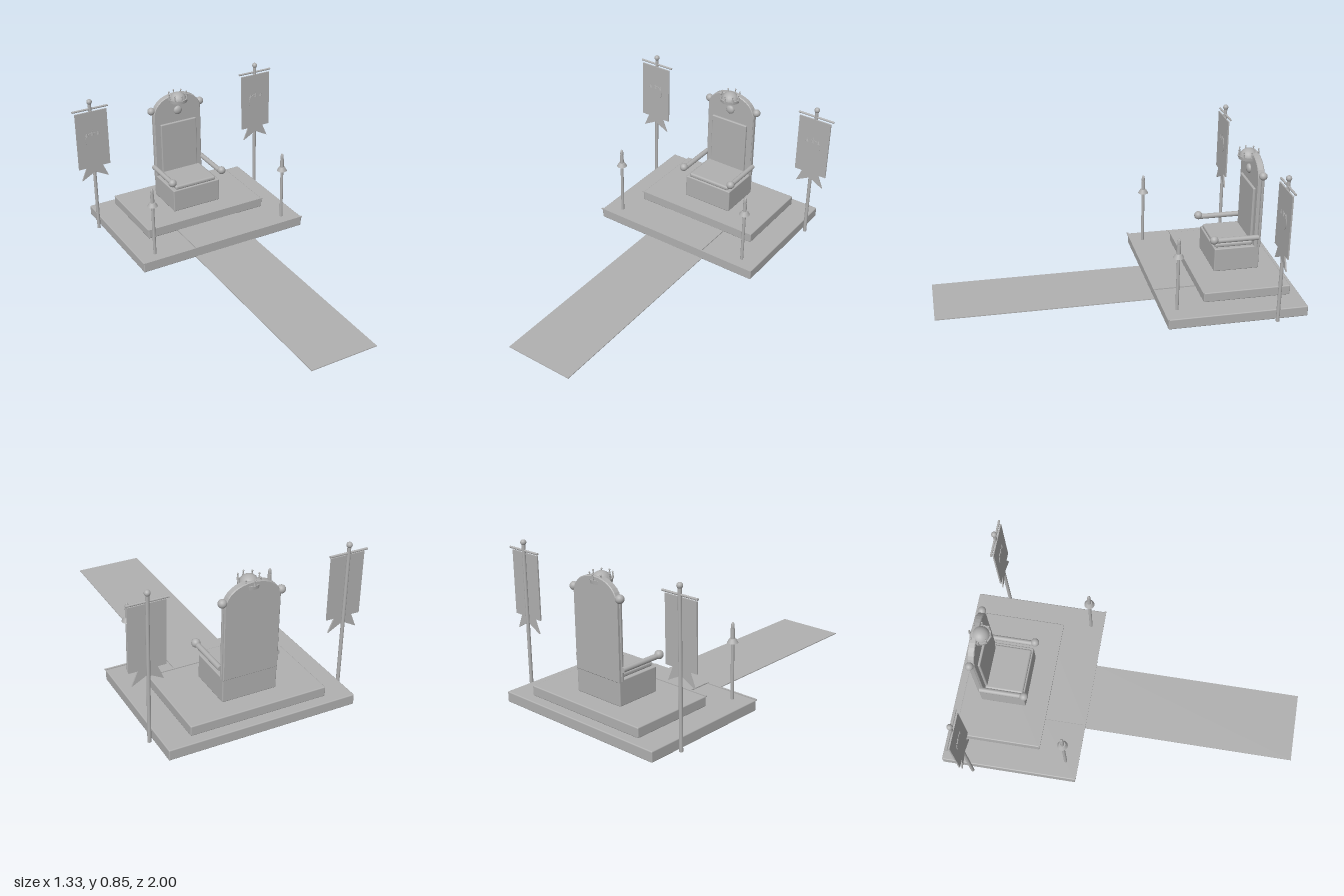
import * as THREE from 'three';
import { RoundedBoxGeometry } from 'three/addons/geometries/RoundedBoxGeometry.js';

export function createModel() {
  const root = new THREE.Group();
  root.name = 'throneDais';
  const stone = new THREE.MeshStandardMaterial({ color: 0xb0b0b0 });
  stone.name = 'plain grey';

  const add = (name, geo, x, y, z, parent = root) => {
    const m = new THREE.Mesh(geo, stone);
    m.name = name;
    m.position.set(x, y, z);
    parent.add(m);
    return m;
  };
  // box given by its limits, with an optional softened edge
  const block = (name, x0, x1, y0, y1, z0, z1, r = 0, parent = root) => {
    const s = [x1 - x0, y1 - y0, z1 - z0];
    const geo = r ? new RoundedBoxGeometry(...s, 2, r) : new THREE.BoxGeometry(...s);
    return add(name, geo, (x0 + x1) / 2, (y0 + y1) / 2, (z0 + z1) / 2, parent);
  };
  const rod = (name, r, y0, y1, x, z, parent = root, rTop = r, sides = 16) =>
    add(name, new THREE.CylinderGeometry(rTop, r, y1 - y0, sides), x, (y0 + y1) / 2, z, parent);
  const ball = (name, r, x, y, z, parent = root) =>
    add(name, new THREE.SphereGeometry(r, 20, 14), x, y, z, parent);

  // platform and carpet
  block('lowerStep', -0.532, 0.532, 0, 0.06, -1, -0.22, 0.006);
  block('upperStep', -0.388, 0.388, 0.06, 0.117, -0.945, -0.452, 0.006);
  block('lowerStepTrim', -0.535, 0.535, 0.057, 0.064, -0.224, -0.214);
  block('upperStepTrim', -0.392, 0.392, 0.114, 0.121, -0.456, -0.446);
  block('carpet', -0.2, 0.2, 0, 0.005, -0.22, 1);
  block('carpetOnStep', -0.2, 0.2, 0.06, 0.066, -0.45, -0.213);

  // throne seat
  const throne = new THREE.Group();
  throne.name = 'throne';
  root.add(throne);
  block('seatBase', -0.156, 0.156, 0.117, 0.258, -0.835, -0.573, 0.006, throne);
  block('seatCushion', -0.136, 0.136, 0.255, 0.282, -0.8, -0.58, 0.011, throne);

  // arched back
  const back = new THREE.Shape();
  back.moveTo(-0.152, 0.25);
  back.lineTo(0.152, 0.25);
  back.lineTo(0.152, 0.67);
  back.quadraticCurveTo(0.13, 0.765, 0, 0.77);
  back.quadraticCurveTo(-0.13, 0.765, -0.152, 0.67);
  const backGeo = new THREE.ExtrudeGeometry(back, {
    depth: 0.03, curveSegments: 8, bevelSize: 0.004, bevelThickness: 0.004, bevelSegments: 1 });
  add('backrest', backGeo, 0, 0, -0.835, throne);
  block('backCushion', -0.12, 0.12, 0.272, 0.597, -0.805, -0.788, 0.006, throne);
  ball('backJewel', 0.027, 0, 0.67, -0.798, throne).scale.z = 0.6;

  // posts, knobs and arms
  for (const s of [1, -1]) {
    rod('backPost', 0.01, 0.25, 0.68, s * 0.15, -0.815, throne);
    ball('backKnob', 0.023, s * 0.164, 0.686, -0.825, throne);
    const arm = rod('armrest', 0.015, -0.13, 0.13, s * 0.163, -0.69, throne);
    arm.rotation.x = Math.PI / 2;
    arm.position.y = 0.315;
    ball('armKnob', 0.024, s * 0.167, 0.322, -0.563, throne);
  }

  // crown on the back
  const crown = new THREE.Group();
  crown.name = 'crown';
  crown.position.set(0, 0.732, -0.79);
  throne.add(crown);
  rod('crownBand', 0.056, 0, 0.02, 0, 0, crown, 0.058, 24);
  const dome = new THREE.SphereGeometry(0.052, 20, 8, 0, Math.PI * 2, 0, Math.PI / 2);
  add('crownDome', dome, 0, 0.006, 0, crown);
  for (let i = 0; i < 8; i++) {
    const a = (i / 8) * Math.PI * 2;
    const x = Math.sin(a) * 0.057, z = Math.cos(a) * 0.057;
    rod('crownPoint', 0.007, 0.018, 0.055, x, z, crown, 0.001, 8);
    ball('crownBead', 0.005, x, 0.05, z, crown);
  }

  // swallow tail below each banner
  const tail = new THREE.Shape([
    [-0.05, 0.43], [-0.085, 0.347], [0, 0.393], [0.085, 0.347], [0.05, 0.43],
  ].map(([x, y]) => new THREE.Vector2(x, y)));

  for (const s of [1, -1]) {
    // candle stand
    const stand = new THREE.Group();
    stand.name = 'candleStand';
    stand.position.set(s * 0.429, 0, -0.29);
    root.add(stand);
    rod('standPole', 0.009, 0.06, 0.38, 0, 0, stand);
    rod('dripCup', 0.03, 0.375, 0.398, 0, 0, stand, 0.017);
    rod('candle', 0.011, 0.395, 0.452, 0, 0, stand);
    const flame = ball('flame', 0.0095, 0, 0.462, 0, stand);
    flame.scale.y = 2.6;

    // banner on its pole
    const banner = new THREE.Group();
    banner.name = 'banner';
    banner.position.set(s * 0.553, 0, -0.82);
    root.add(banner);
    rod('bannerPole', 0.01, 0, 0.83, 0, 0, banner);
    ball('poleFinial', 0.016, 0, 0.838, 0, banner);
    const bar = rod('crossbar', 0.006, -0.111, 0.111, 0, 0, banner);
    bar.rotation.z = Math.PI / 2;
    bar.position.y = 0.794;
    block('bannerCloth', -0.099, 0.099, 0.425, 0.78, 0.004, 0.012, 0, banner);
    const tailGeo = new THREE.ExtrudeGeometry(tail, { depth: 0.008, bevelEnabled: false });
    add('bannerTail', tailGeo, 0, 0, 0.004, banner);

    // crown emblem
    const disc = rod('emblemDisc', 0.047, 0, 0.004, 0, 0, banner, 0.047, 28);
    disc.rotation.x = Math.PI / 2;
    disc.position.set(0, 0.603, 0.013);
    for (const i of [-1, 0, 1]) {
      const h = i ? 0.655 : 0.667;
      rod('emblemPoint', 0.01, 0.631, h, i * 0.036, 0.014, banner, 0.0005, 8).scale.z = 0.4;
    }
  }
  return root;
}
